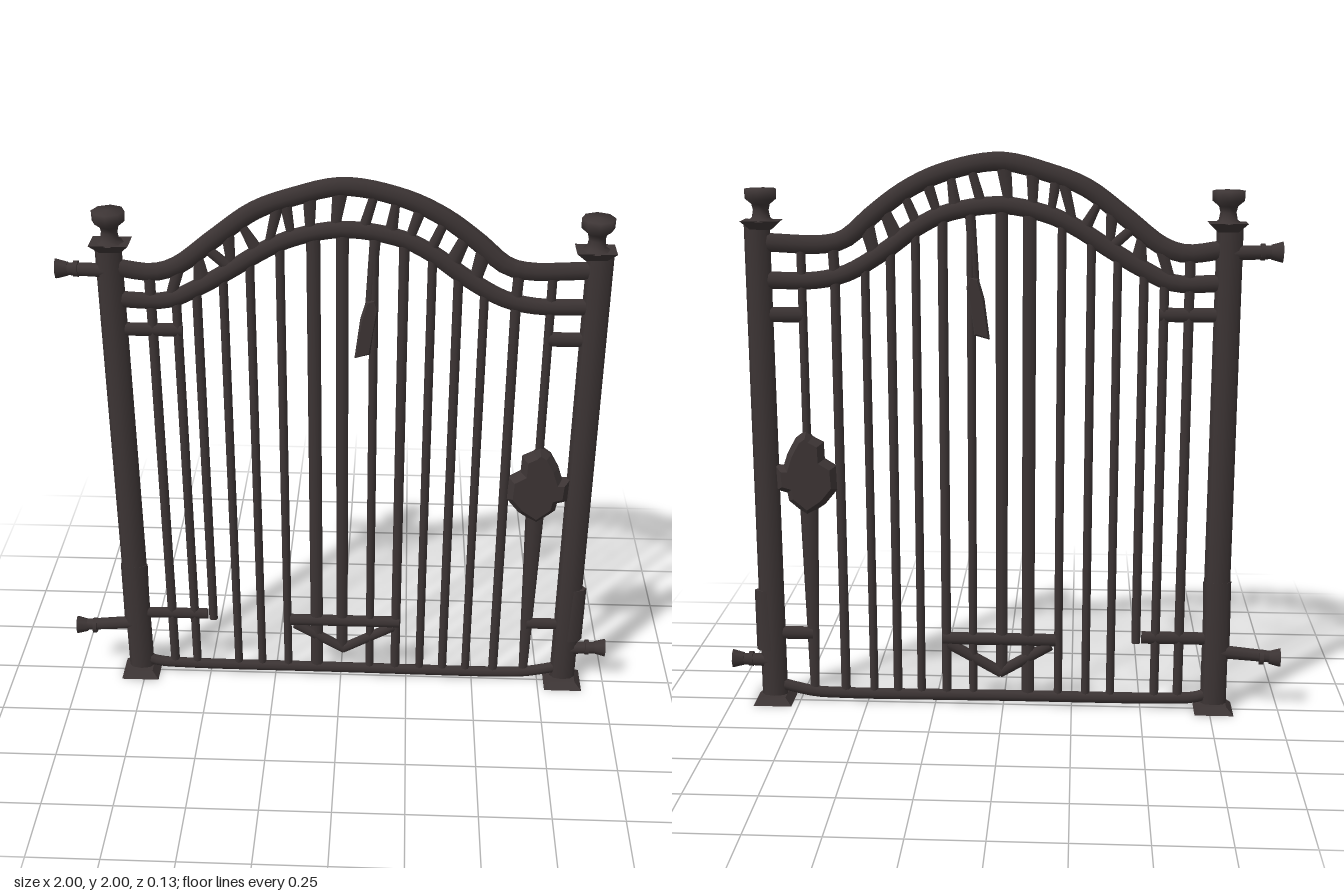
import * as THREE from 'three';

export function createModel() {
  const gate = new THREE.Group();
  gate.name = 'gate';
  const iron = new THREE.MeshStandardMaterial({ color: 0x3d3535 });
  iron.name = 'dark iron';

  const add = (name, geometry) => {
    const mesh = new THREE.Mesh(geometry, iron);
    mesh.name = name;
    gate.add(mesh);
    return mesh;
  };

  // Tapered bar between two points of the gate plane, flattened to depth rz
  const bar = (name, x1, y1, x2, y2, r1, r2 = r1, rz = 0.012, sides = 8) => {
    const g = new THREE.CylinderGeometry(r2, r1, Math.hypot(x2 - x1, y2 - y1), sides);
    g.scale(1, 1, rz / Math.max(r1, r2));
    g.rotateZ(-Math.atan2(x2 - x1, y2 - y1));
    g.translate((x1 + x2) / 2, (y1 + y2) / 2, 0);
    return add(name, g);
  };

  // Curved rail through points
  const rail = (name, pts, r, rz) => {
    const curve = new THREE.CatmullRomCurve3(pts.map(([x, y]) => new THREE.Vector3(x, y, 0)));
    const g = new THREE.TubeGeometry(curve, 48, r, 8);
    g.scale(1, 1, rz / r);
    return add(name, g);
  };

  // Solid from an outline, tapered in depth toward its rim
  const plate = (name, pts, depth, bevel) => {
    const shape = new THREE.Shape(pts.map(([x, y]) => new THREE.Vector2(x, y)));
    const g = new THREE.ExtrudeGeometry(shape, {
      depth, bevelEnabled: true, bevelThickness: bevel, bevelSize: bevel, bevelOffset: -bevel, bevelSegments: 1
    });
    g.translate(0, 0, -depth / 2);
    return add(name, g);
  };

  // Square frustum with half sizes at bottom and top
  const square = (name, x, y, h, a, b, zScale = 0.9) => {
    const g = new THREE.CylinderGeometry(b * Math.SQRT2, a * Math.SQRT2, h, 4).toNonIndexed();
    g.rotateY(Math.PI / 4);
    g.computeVertexNormals();
    g.scale(1, 1, zScale);
    return add(name, g.translate(x, y + h / 2, 0));
  };

  // Posts with foot, collar and flared finial
  for (const [x, fx] of [[-0.765, -0.757], [0.844, 0.828]]) {
    bar('post', x, 0.01, x, 1.75, 0.047, 0.045, 0.026);
    square('postFoot', x, 0, 0.025, 0.07, 0.045);
    square('postCollar', fx, 1.735, 0.03, 0.035, 0.065, 0.7);
    const finial = new THREE.LatheGeometry([
      [0.05, 1.762], [0.032, 1.775], [0.027, 1.8], [0.032, 1.82], [0.054, 1.838], [0.055, 1.872], [0, 1.876]
    ].map(([r, y]) => new THREE.Vector2(r, y)), 8);
    add('postFinial', finial).position.x = fx;
  }
  bar('postSwelling', 0.855, 0.2, 0.86, 0.43, 0.05, 0.045, 0.026);
  bar('postSwelling', -0.77, 0.2, -0.765, 0.49, 0.048, 0.05, 0.026);

  // Arched double top rail
  const upper = [[-0.75, 1.675], [-0.62, 1.66], [-0.54, 1.685], [-0.41, 1.785], [-0.28, 1.88], [-0.15, 1.93],
    [0.01, 1.966], [0.2, 1.93], [0.33, 1.87], [0.44, 1.79], [0.54, 1.705], [0.61, 1.685], [0.82, 1.69]];
  const lower = [[-0.75, 1.56], [-0.58, 1.56], [-0.47, 1.61], [-0.36, 1.675], [-0.25, 1.745], [-0.15, 1.79],
    [0.01, 1.82], [0.2, 1.79], [0.3, 1.74], [0.41, 1.66], [0.54, 1.585], [0.65, 1.56], [0.82, 1.56]];
  rail('upperArchRail', upper, 0.032, 0.017);
  rail('lowerArchRail', lower, 0.03, 0.017);
  const heightAt = (pts, x) => {
    const i = Math.max(1, pts.findIndex(p => p[0] >= x));
    const [a, b] = [pts[i - 1], pts[i]];
    return a[1] + (b[1] - a[1]) * (x - a[0]) / (b[0] - a[0]);
  };

  // Leaning ornaments between the two arch rails: [bottom x, top x, bottom r, top r]
  for (const [xb, xt, rb, rt] of [
    [-0.635, -0.635, 0.02, 0.02], [-0.57, -0.53, 0.02, 0.022], [-0.46, -0.47, 0.035, 0.012],
    [-0.36, -0.45, 0.02, 0.018], [-0.36, -0.37, 0.015, 0.025], [-0.27, -0.33, 0.026, 0.012],
    [-0.24, -0.2, 0.015, 0.022], [-0.16, -0.18, 0.014, 0.022], [-0.1, -0.1, 0.016, 0.026],
    [-0.02, 0.0, 0.016, 0.03], [0.07, 0.11, 0.02, 0.016], [0.16, 0.18, 0.025, 0.014],
    [0.22, 0.26, 0.016, 0.022], [0.29, 0.34, 0.02, 0.016], [0.36, 0.41, 0.03, 0.02],
    [0.44, 0.47, 0.022, 0.03], [0.58, 0.585, 0.02, 0.02], [0.695, 0.695, 0.017, 0.017]
  ]) bar('archOrnament', xb, heightAt(lower, xb), xt, heightAt(upper, xt), rb, rt, 0.011, 6);

  // Upright bars: [x, radius, bottom]
  for (const [x, r, y = 0.03] of [
    [-0.635, 0.017], [-0.55, 0.016], [-0.48, 0.016, 0.25], [-0.39, 0.015], [-0.3, 0.015], [-0.2, 0.015],
    [-0.09, 0.023], [0.005, 0.021, 0.13], [0.11, 0.015], [0.207, 0.017], [0.3, 0.015], [0.387, 0.016],
    [0.475, 0.015], [0.58, 0.017], [0.695, 0.015, 0.9]
  ]) bar('uprightBar', x, y, x, heightAt(lower, x), r);
  bar('lockRod', 0.695, 0.04, 0.695, 0.8, 0.016, 0.034, 0.016);

  // Bottom rail
  rail('bottomRail', [[-0.77, 0.07], [-0.7, 0.045], [-0.6, 0.038], [0, 0.035], [0.6, 0.033], [0.7, 0.038], [0.84, 0.07]],
    0.022, 0.016);

  // Short side rails
  for (const [x1, x2, y, r] of [[-0.75, -0.535, 1.45, 0.025], [0.695, 0.82, 1.44, 0.027],
    [-0.75, -0.5, 0.272, 0.024], [0.695, 0.82, 0.265, 0.025]])
    bar('sideRail', x1, y, x2, y, r, r, 0.014);

  // Bottom triangular brace
  bar('braceRail', -0.19, 0.255, 0.22, 0.255, 0.024, 0.024, 0.017);
  bar('braceDiagonal', -0.17, 0.235, 0.015, 0.125, 0.021, 0.021, 0.014);
  bar('braceDiagonal', 0.2, 0.235, 0.005, 0.125, 0.021, 0.021, 0.014);

  // Hanging latch handle
  bar('handleStem', 0.095, 1.53, 0.113, 1.8, 0.015, 0.018);
  plate('handleGrip', [[0.085, 1.57], [0.065, 1.5], [0.047, 1.36], [0.1, 1.375], [0.126, 1.54], [0.115, 1.58]], 0.016, 0.006);

  // Lock body
  plate('lock', [[0.695, 1.03], [0.735, 1.0], [0.765, 0.945], [0.78, 0.9], [0.81, 0.9], [0.805, 0.81], [0.77, 0.8],
    [0.765, 0.77], [0.7, 0.715], [0.635, 0.76], [0.59, 0.815], [0.595, 0.9], [0.635, 0.925], [0.637, 0.985], [0.675, 1.005]],
    0.016, 0.02);

  // Hinge pins with flanged ends: [inner x, inner y, outer x, outer y]
  for (const [x1, y1, x2, y2] of [[-0.77, 1.663, -0.94, 1.667], [-0.77, 0.225, -0.995, 0.205], [0.85, 0.155, 0.99, 0.16]]) {
    const s = Math.sign(x2);
    bar('hingePin', x1, y1, x2, y2, 0.026, 0.022, 0.022);
    bar('hingeFlange', x2 - s * 0.035, y2, x2 + s * 0.005, y2, 0.025, 0.036, 0.03);
    bar('hingeRing', x2 - s * 0.07, y2, x2 - s * 0.055, y2, 0.029, 0.029, 0.027);
  }
  return gate;
}
